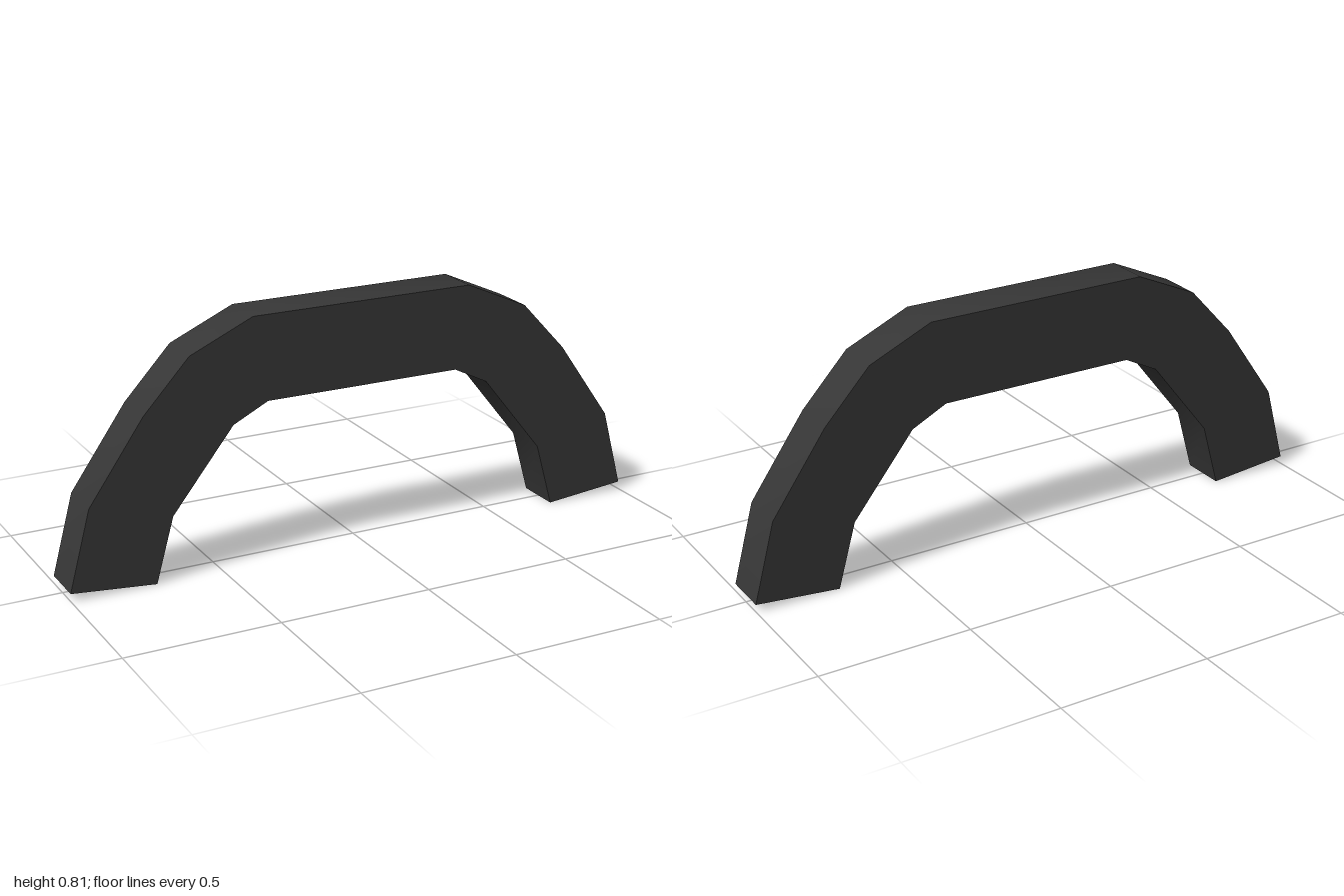
import * as THREE from 'three';
import { toCreasedNormals } from 'three/addons/utils/BufferGeometryUtils.js';

export function createModel() {
  const group = new THREE.Group();
  group.name = 'archHandle';

  const charcoal = new THREE.MeshStandardMaterial({ color: 0x363636 });
  charcoal.name = 'charcoal';

  // Right half of the arch, outer edge from foot to top, inner edge from top to foot
  const outer = [[1, 0.026], [0.93, 0.288], [0.746, 0.551], [0.592, 0.717], [0.38, 0.812]];
  const inner = [[0.334, 0.535], [0.452, 0.476], [0.66, 0.214], [0.72, 0]];
  const mirror = (points) => points.map(([x, y]) => [-x, y]).reverse();
  const outline = [...outer, ...mirror(outer), ...mirror(inner), ...inner];

  // Bar of constant depth, rounded along the arch and sharp at the edges
  const depth = 0.152;
  const shape = new THREE.Shape(outline.map(([x, y]) => new THREE.Vector2(x, y)));
  const bar = new THREE.ExtrudeGeometry(shape, { depth, bevelEnabled: false });
  bar.translate(0, 0, -depth / 2);

  const handle = new THREE.Mesh(toCreasedNormals(bar, 0.6), charcoal);
  handle.name = 'handle';
  group.add(handle);
  return group;
}
